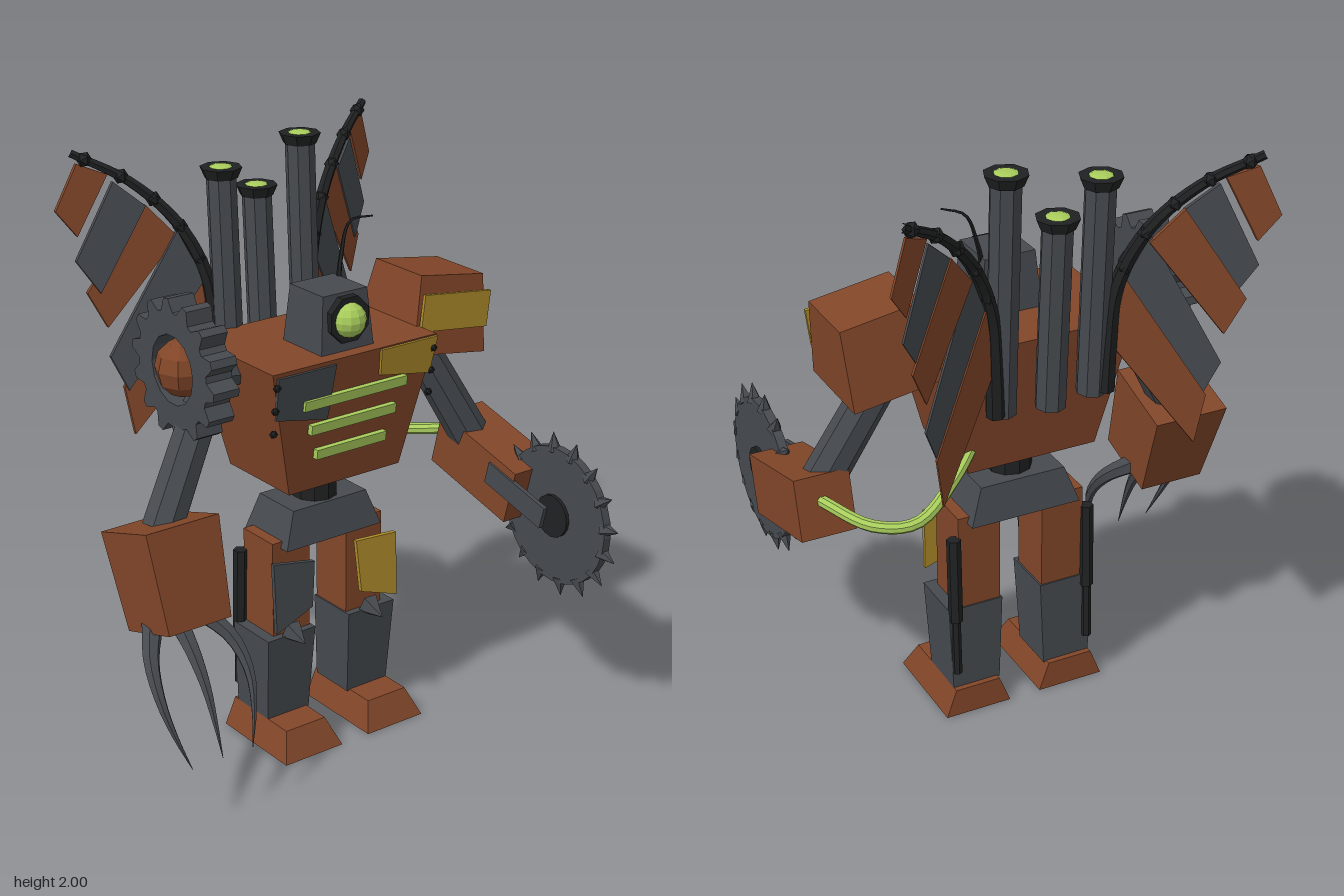
import * as THREE from 'three';

const mat = (name, hex) => {
  const m = new THREE.MeshStandardMaterial({ color: hex });
  m.name = name;
  return m;
};

export function createModel() {
  const rust = mat('rust', 0x824629), steel = mat('steel', 0x464a4f), black = mat('black', 0x202122);
  const yellow = mat('yellow', 0xb08d2b), green = mat('green', 0xa8cc5c);
  const model = new THREE.Group();
  const MID = 0.035; // symmetry axis of the body
  const V = (x, y, z) => new THREE.Vector3(x, y, z);

  // Faceted mesh
  const add = (name, geo, material, pos = [0, 0, 0], rot = [0, 0, 0]) => {
    const g = geo.index ? geo.toNonIndexed() : geo;
    g.computeVertexNormals();
    const m = new THREE.Mesh(g, material);
    m.name = name;
    m.position.set(...pos);
    m.rotation.set(...rot);
    model.add(m);
    return m;
  };
  const bend = (geo, rule) => {
    const p = geo.attributes.position, v = V(0, 0, 0);
    for (let i = 0; i < p.count; i++) {
      v.fromBufferAttribute(p, i);
      rule(v);
      p.setXYZ(i, v.x, v.y, v.z);
    }
    return geo;
  };
  // Box whose top and bottom differ in width and depth
  const taperBox = (wTop, dTop, wBot, dBot, h) => bend(new THREE.BoxGeometry(1, h, 1), v => {
    v.x *= v.y > 0 ? wTop : wBot;
    v.z *= v.y > 0 ? dTop : dBot;
  });
  const rod = (name, a, b, r1, r2, sides, material) => {
    const m = add(name, new THREE.CylinderGeometry(r2, r1, a.distanceTo(b), sides), material);
    m.position.copy(a).add(b).multiplyScalar(0.5);
    m.quaternion.setFromUnitVectors(V(0, 1, 0), b.clone().sub(a).normalize());
    return m;
  };
  // Tube with a radius that changes evenly from r1 to r2
  const sweep = (name, pts, r1, r2, sides, steps, material) => {
    const curve = new THREE.CatmullRomCurve3(pts.map(p => V(...p)));
    const geo = new THREE.TubeGeometry(curve, steps, 1, sides);
    const p = geo.attributes.position, v = V(0, 0, 0);
    for (let i = 0; i < p.count; i++) {
      const t = Math.floor(i / (sides + 1)) / steps, c = curve.getPointAt(t);
      v.fromBufferAttribute(p, i).sub(c).multiplyScalar(r1 + (r2 - r1) * t).add(c);
      p.setXYZ(i, v.x, v.y, v.z);
    }
    add(name, geo, material);
    return curve;
  };
  const plate = (pts, depth) => new THREE.ExtrudeGeometry(
    new THREE.Shape(pts.map(p => new THREE.Vector2(...p))), { depth, bevelEnabled: false });

  // Legs
  for (const s of [-1, 1]) {
    const x = MID + s * 0.1735;
    add('foot', bend(taperBox(0.16, 0.3, 0.235, 0.355, 0.095), v => { if (v.y > 0) v.z -= 0.022; }),
      rust, [x, 0.0475, -0.077]);
    add('shin', bend(taperBox(0.195, 0.195, 0.17, 0.175, 0.31), v => { if (v.y < 0) v.z -= 0.014; }),
      steel, [x - s * 0.005, 0.245, -0.128]);
    add('thigh', taperBox(0.15, 0.165, 0.15, 0.165, 0.345), rust, [MID + s * 0.152, 0.565, -0.138]);
    add('kneeSpike', new THREE.ConeGeometry(0.042, 0.08, 5), steel, [MID + s * 0.163, 0.4, 0], [Math.PI / 2 + 0.25, 0, 0]);
    const px = MID + s * 0.243;
    rod('pistonSleeve', V(px, 0.36, -0.228), V(px, 0.665, -0.218), 0.024, 0.024, 6, black);
    rod('pistonRod', V(px, 0.16, -0.237), V(px, 0.38, -0.228), 0.016, 0.016, 6, black);
    const thighPlate = [[0.085, 0.68], [0.255, 0.668], [0.25, 0.44], [0.1, 0.492]]
      .map(([u, y]) => [MID + s * u, y]);
    if (s < 0) thighPlate.splice(0, 4, [-0.22, 0.688], [-0.055, 0.657], [-0.07, 0.498], [-0.22, 0.44]);
    add('thighPlate', bend(plate(thighPlate, 0.016), v => { v.z += -0.025 + (0.68 - v.y) * 0.06; }),
      s > 0 ? yellow : steel);
  }

  // Pelvis, waist and torso
  add('pelvis', taperBox(0.3, 0.19, 0.39, 0.24, 0.125), steel, [MID, 0.7775, -0.138]);
  add('waist', new THREE.CylinderGeometry(0.077, 0.077, 0.14, 10), black, [MID, 0.89, -0.13]);
  add('torso', taperBox(0.655, 0.452, 0.45, 0.33, 0.45), rust, [MID, 1.17, -0.129]);
  const frontZ = y => 0.097 - (1.395 - y) * 0.136;
  const onChest = (geo, lift) => bend(geo, v => { v.z += frontZ(v.y) + lift; });
  for (const [y, w] of [[1.262, 0.41], [1.17, 0.34], [1.076, 0.28]])
    add('chestVent', onChest(new THREE.BoxGeometry(w, 0.034, 0.03).translate(MID, y, 0), 0.006), green);
  add('chestPatch', onChest(plate([[-0.275, 1.38], [-0.05, 1.38], [-0.068, 1.192], [-0.272, 1.235]], 0.01), 0), steel);
  add('chestPatch', onChest(plate([[0.13, 1.39], [0.362, 1.39], [0.342, 1.262], [0.135, 1.3]], 0.01), 0), yellow);
  for (const s of [-1, 1]) for (const y of [1.35, 1.27, 1.19])
    add('bolt', new THREE.IcosahedronGeometry(0.014, 0), black, [MID + s * 0.313, y, frontZ(y) + 0.008]);

  // Head with one eye and an antenna
  add('head', taperBox(0.175, 0.175, 0.208, 0.205, 0.19), steel, [MID, 1.49, -0.053]);
  add('eyeRing', new THREE.CylinderGeometry(0.08, 0.08, 0.06, 8), black, [MID, 1.5, 0.032], [Math.PI / 2, Math.PI / 8, 0]);
  add('eye', new THREE.SphereGeometry(0.058, 12, 8), green, [MID - 0.002, 1.5, 0.057]);
  sweep('antenna', [[0.11, 1.54, -0.1], [0.14, 1.64, -0.125], [0.19, 1.75, -0.14], [0.25, 1.765, -0.1]],
    0.01, 0.003, 5, 14, black);

  // Exhaust stacks
  for (const [x, top, z] of [[-0.124, 1.92, -0.414], [MID, 1.83, -0.443], [0.19, 1.985, -0.414]]) {
    const a = V(x, 1.19, z + 0.033), b = V(x, top, z);
    rod('stack', a, b.clone().setY(top - 0.01), 0.05, 0.05, 8, steel);
    rod('stackLip', b.clone().setY(top - 0.035), b, 0.055, 0.07, 8, black);
    add('stackGlow', new THREE.SphereGeometry(0.04, 8, 4, 0, Math.PI * 2, 0, Math.PI / 2).scale(1, 0.25, 1),
      green, [x, top - 0.002, z]);
  }

  // Wings: curved spar with hanging blades, given as outward distance and height
  const wingZ = u => -0.41 - (u - 0.18) * 0.55;
  const blades = [
    [[0.486, 1.913], [0.571, 1.95], [0.634, 1.796], [0.576, 1.711]],
    [[0.386, 1.807], [0.475, 1.89], [0.586, 1.63], [0.52, 1.52]],
    [[0.295, 1.7], [0.385, 1.81], [0.555, 1.52], [0.5, 1.4]],
    [[0.225, 1.55], [0.3, 1.72], [0.5, 1.3], [0.45, 1.18]],
    [[0.2, 1.36], [0.235, 1.58], [0.46, 1.19], [0.433, 1.02]],
  ];
  const spar = [[0.585, 1.985], [0.424, 1.887], [0.29, 1.74], [0.212, 1.553], [0.195, 1.36], [0.19, 1.2]];
  for (const s of [-1, 1]) {
    const curve = sweep('wingSpar', spar.map(([u, y]) => [MID + s * u, y, wingZ(u)]), 0.014, 0.03, 6, 24, black);
    for (const t of [0.05, 0.18, 0.31, 0.44, 0.57])
      add('wingRivet', new THREE.IcosahedronGeometry(0.026, 0), black, curve.getPointAt(t).toArray());
    blades.forEach((b, i) => add('wingBlade',
      bend(plate(b.map(([u, y]) => [s * u, y]), 0.012), v => {
        v.z += wingZ(Math.abs(v.x)) - 0.006 + (i % 2) * 0.008;
        v.x += MID;
      }), i % 2 ? steel : rust));
    rod('upperArm', V(MID + s * 0.375, 1.38, -0.145), V(MID + s * 0.64, 0.9, -0.075), 0.062, 0.07, 8, steel);
  }

  // Right shoulder gear
  const gear = new THREE.Shape(), teeth = 14;
  for (let i = 0; i < teeth * 4; i++) {
    const a = (i + 0.5) / (teeth * 4) * Math.PI * 2, r = i % 4 < 2 ? 0.23 : 0.19;
    gear[i ? 'lineTo' : 'moveTo'](Math.cos(a) * r, Math.sin(a) * r);
  }
  gear.closePath();
  gear.holes.push(new THREE.Path().absarc(0, 0, 0.115, 0, Math.PI * 2, true));
  add('shoulderGear', new THREE.ExtrudeGeometry(gear, { depth: 0.095, bevelEnabled: false, curveSegments: 7 })
    .translate(0, 0, -0.0475).rotateY(Math.PI / 2), steel, [-0.457, 1.39, -0.145]);
  add('shoulderHub', new THREE.SphereGeometry(0.095, 8, 6), rust, [-0.46, 1.39, -0.145]);
  rod('shoulderAxle', V(-0.45, 1.36, -0.145), V(-0.22, 1.33, -0.145), 0.05, 0.05, 8, steel);

  // Right forearm and claws
  add('rightForearm', taperBox(0.27, 0.28, 0.232, 0.25, 0.33), rust, [-0.615, 0.77, -0.02], [-0.31, 0, 0]);
  for (const k of [-1, 0, 1])
    sweep('claw', [[0.085, 0.63, 0], [0.15, 0.55, 0.09], [0.168, 0.45, 0.165], [0.15, 0.34, 0.215], [0.115, 0.23, 0.255]]
      .map(([u, y, z]) => [-0.613 + k * u, y, z]), 0.036, 0.001, 6, 12, steel);

  // Left shoulder armour
  add('shoulderArmour', taperBox(0.27, 0.24, 0.31, 0.32, 0.26), rust, [0.505, 1.405, -0.14], [0, 0, -0.16]);
  add('shoulderPatch', new THREE.BoxGeometry(0.285, 0.125, 0.012), yellow, [0.508, 1.422, 0.018], [0, 0, -0.13]);

  // Left forearm and circular saw
  add('leftForearm', new THREE.BoxGeometry(0.185, 0.2, 0.4), rust, [0.695, 0.836, 0.018], [0.255, 0, 0]);
  add('sawBracket', new THREE.BoxGeometry(0.016, 0.08, 0.29), steel, [0.603, 0.81, 0.24], [0.255, 0, 0]);
  const sx = 0.695, sy = 0.752, sz = 0.35;
  add('sawDisc', new THREE.CylinderGeometry(0.242, 0.242, 0.03, 28), steel, [sx, sy, sz], [0, 0, Math.PI / 2]);
  add('sawHub', new THREE.CylinderGeometry(0.075, 0.075, 0.055, 16), black, [sx, sy, sz], [0, 0, Math.PI / 2]);
  for (let i = 0; i < 16; i++) {
    const a = (i + 0.3) / 16 * Math.PI * 2, d = V(0, Math.sin(a), Math.cos(a)), c = V(sx, sy, sz);
    rod('sawTooth', c.clone().addScaledVector(d, 0.225), c.clone().addScaledVector(d, 0.292), 0.026, 0, 5, steel);
  }

  // Hose from the torso to the left forearm
  sweep('hose', [[0.2, 1.06, -0.25], [0.33, 0.97, -0.34], [0.48, 0.88, -0.39], [0.6, 0.868, -0.33], [0.71, 0.9, -0.15]],
    0.02, 0.02, 8, 24, green);

  return model;
}
